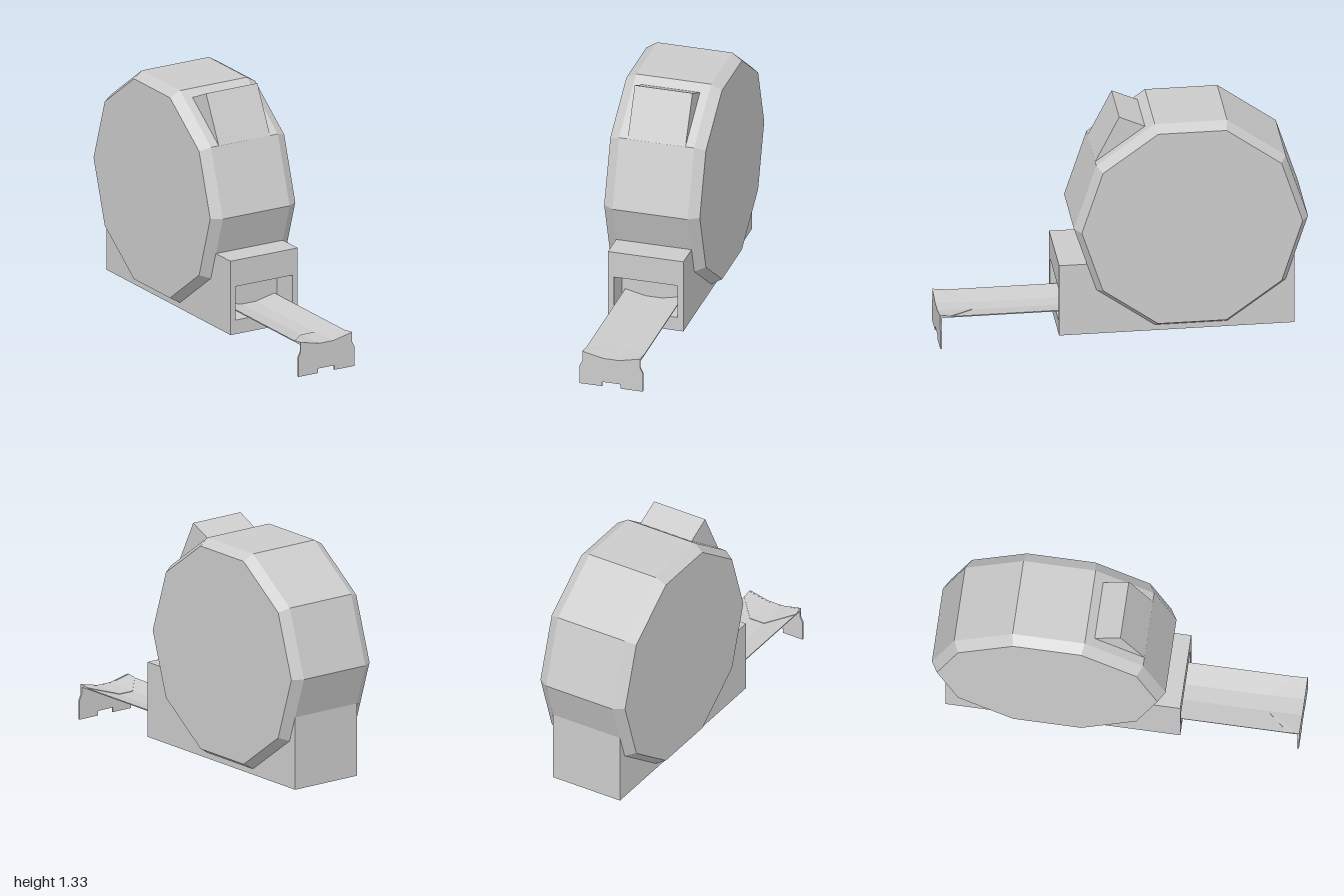
import * as THREE from 'three';

const material = new THREE.MeshStandardMaterial({ color: 0xcccccc, flatShading: true });

function add(group, name, geometry) {
  const mesh = new THREE.Mesh(geometry, material);
  mesh.name = name;
  group.add(mesh);
  return mesh;
}

const points = (list) => list.map(([x, y]) => new THREE.Vector2(x, y));

// Extrudes an outline in x,y from z0 to z1
function extrude(shape, z0, z1) {
  const g = new THREE.ExtrudeGeometry(shape, { depth: z1 - z0, bevelEnabled: false });
  return g.translate(0, 0, z0);
}

// Trough-shaped rise of the tape towards its edges
const rise = (x) => 0.026 * Math.max(0, (Math.abs(x) - 0.045) / 0.12);

export function createModel() {
  const model = new THREE.Group();
  model.name = 'tapeMeasure';

  // Ten-sided case with chamfered rims
  const profile = points([[0, -0.27], [0.602, -0.27], [0.638, -0.212],
    [0.638, 0.212], [0.602, 0.27], [0, 0.27]]);
  const caseGeometry = new THREE.LatheGeometry(profile, 10);
  caseGeometry.rotateZ(-Math.PI / 2).translate(0, 0.697, -0.362);
  add(model, 'case', caseGeometry);

  // Base: solid rear block and a front frame around the tape mouth
  const base = new THREE.Group();
  base.name = 'base';
  model.add(base);
  add(base, 'baseBlock', new THREE.BoxGeometry(0.426, 0.422, 1.125).translate(0, 0.269, -0.3625));
  const frame = new THREE.Shape(points([[-0.213, 0.058], [0.213, 0.058], [0.213, 0.48], [-0.213, 0.48]]));
  frame.holes.push(new THREE.Path(points([[-0.18, 0.138], [-0.18, 0.33], [0.18, 0.33], [0.18, 0.138]])));
  add(base, 'mouthFrame', extrude(frame, 0.2, 0.357));

  // Lock button: a wedge rising from the front upper facet (x of the outline becomes -z)
  const wedge = new THREE.Shape(points([[-0.155, 1.07], [0.05, 1.1], [0.12, 1.268], [-0.023, 1.333]]));
  add(model, 'lockButton', extrude(wedge, -0.163, 0.163).rotateY(Math.PI / 2));

  // Blade with a trough cross-section
  const columns = [-0.163, -0.045, 0.045, 0.163];
  const upper = columns.map((x) => [x, 0.16 + rise(x)]);
  const lower = columns.map((x) => [x, 0.154 + rise(x)]).reverse();
  add(model, 'blade', extrude(new THREE.Shape(points([...upper, ...lower])), 0.2, 0.992));

  // End hook: tapered plate lying on the blade
  const hook = new THREE.Group();
  hook.name = 'endHook';
  model.add(hook);
  const plate = new THREE.BoxGeometry(3, 1, 1, 3, 1, 1);
  const p = plate.attributes.position;
  for (let i = 0; i < p.count; i++) {
    const x = columns[Math.round(p.getX(i) + 1.5)];
    const front = p.getZ(i) > 0;
    const z = front ? 0.995 : Math.abs(x) > 0.1 ? 0.94 : 0.81;
    const top = (front ? 0.169 : 0.163) + rise(x);
    p.setXYZ(i, x, p.getY(i) > 0 ? top : top - 0.009, z);
  }
  plate.computeVertexNormals();
  add(hook, 'hookPlate', plate);

  // End hook: downturned lip with a notch
  const half = [[0.052, 0], [0.178, 0], [0.178, 0.11], [0.163, 0.14], [0.163, 0.195], [0.045, 0.169]];
  const mirrored = half.map(([x, y]) => [-x, y]).reverse();
  const lip = new THREE.Shape(points([[0.052, 0.026], ...half, ...mirrored, [-0.052, 0.026]]));
  add(hook, 'hookLip', extrude(lip, 0.99, 1));

  return model;
}
